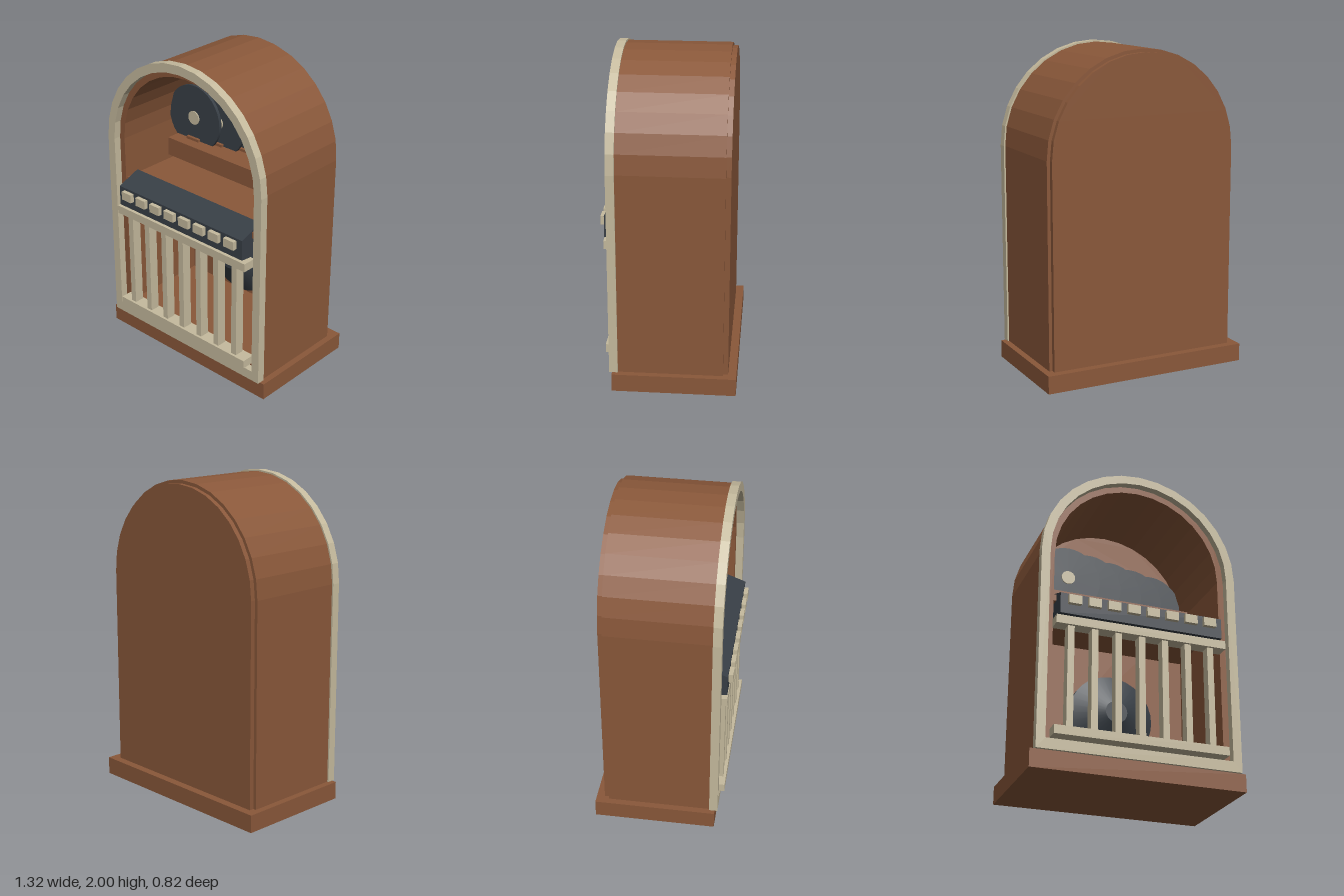
import * as THREE from 'three';

const wood = new THREE.MeshStandardMaterial({ color: 0x8a583a });
wood.name = 'warm wood';
const cream = new THREE.MeshStandardMaterial({ color: 0xc6bb9e });
cream.name = 'cream trim';
const dark = new THREE.MeshStandardMaterial({ color: 0x383f46 });
dark.name = 'dark slate';

const ARCH_Y = 1.37; // height at which the round top starts

// Outline of a round-topped doorway shape
function archPoints(r, bottom, segments = 16) {
  const pts = [new THREE.Vector2(-r, bottom), new THREE.Vector2(r, bottom)];
  for (let i = 0; i <= segments; i++) {
    const a = (Math.PI * i) / segments;
    pts.push(new THREE.Vector2(r * Math.cos(a), ARCH_Y + r * Math.sin(a)));
  }
  return pts;
}

export function createModel() {
  const model = new THREE.Group();
  model.name = 'jukebox';

  function add(name, geometry, material, x = 0, y = 0, z = 0, parent = model) {
    const mesh = new THREE.Mesh(geometry, material);
    mesh.name = name;
    mesh.position.set(x, y, z);
    parent.add(mesh);
    return mesh;
  }

  // Box given by its limits on each axis
  function box(name, material, x0, x1, y0, y1, z0, z1, parent) {
    return add(name, new THREE.BoxGeometry(x1 - x0, y1 - y0, z1 - z0), material,
      (x0 + x1) / 2, (y0 + y1) / 2, (z0 + z1) / 2, parent);
  }

  // Arch slab between two depths, optionally with an arch opening
  function arch(name, material, r, bottom, z0, z1, hole) {
    const shape = new THREE.Shape(archPoints(r, bottom));
    if (hole) shape.holes.push(new THREE.Path(archPoints(hole.r, hole.bottom)));
    const geometry = new THREE.ExtrudeGeometry(shape, { depth: z1 - z0, bevelEnabled: false });
    return add(name, geometry, material, 0, 0, z0);
  }

  // Round part whose axis runs front to back
  function disc(name, material, rFront, rBack, z0, z1, x, y, parent) {
    const geometry = new THREE.CylinderGeometry(rFront, rBack, z1 - z0, 32).rotateX(Math.PI / 2);
    return add(name, geometry, material, x, y, (z0 + z1) / 2, parent);
  }

  // Cabinet
  box('base', wood, -0.66, 0.66, 0, 0.11, -0.41, 0.34);
  arch('cabinetShell', wood, 0.62, 0.11, -0.33, 0.31, { r: 0.535, bottom: 0.185 });
  arch('backPanel', wood, 0.6, 0.11, -0.36, -0.33);
  arch('innerBack', wood, 0.54, 0.18, -0.33, -0.295);
  arch('frontTrim', cream, 0.63, 0.11, 0.305, 0.357, { r: 0.575, bottom: 0.175 });
  box('shelf', wood, -0.535, 0.535, 1.06, 1.1, -0.3, 0.3);

  // Record rack with five overlapping records
  const records = new THREE.Group();
  records.name = 'records';
  model.add(records);
  box('rack', wood, -0.465, 0.465, 1.175, 1.295, -0.3, 0, records);
  for (let i = 0; i < 5; i++) {
    const x = -0.32 + 0.16 * i;
    const z = -0.1 - 0.045 * i;
    disc('record', dark, 0.215, 0.215, z - 0.01, z + 0.01, x, 1.445, records);
    disc('recordLabel', cream, 0.045, 0.045, z + 0.01, z + 0.017, x, 1.445, records);
    box('recordHolder', wood, x - 0.05, x + 0.05, 1.28, 1.312, z - 0.02, z + 0.03, records);
  }

  // Selector panel: side profile (depth, height) swept across the width
  const profile = new THREE.Shape([
    [0.23, 0.93], [0.385, 0.945], [0.385, 1.075], [0.23, 1.135],
  ].map(([z, y]) => new THREE.Vector2(-z, y)));
  const panel = new THREE.ExtrudeGeometry(profile, { depth: 1.03, bevelEnabled: false });
  panel.rotateY(Math.PI / 2);
  add('selectorPanel', panel, dark, -0.515);
  for (let i = 0; i < 8; i++) {
    const x = -0.43 + (0.86 * i) / 7;
    box('button', cream, x - 0.04, x + 0.04, 1.005, 1.06, 0.38, 0.412);
  }

  // Speaker
  const speaker = new THREE.Group();
  speaker.name = 'speaker';
  model.add(speaker);
  disc('speakerRim', dark, 0.27, 0.27, -0.3, -0.165, 0, 0.56, speaker);
  disc('speakerCone', dark, 0.07, 0.27, -0.165, -0.06, 0, 0.56, speaker);

  // Grille
  const grille = new THREE.Group();
  grille.name = 'grille';
  model.add(grille);
  for (const y of [0.195, 0.877]) {
    box('grilleRail', cream, -0.537, 0.537, y, y + 0.053, 0.3, 0.388, grille);
  }
  for (let i = -3; i <= 3; i++) {
    const x = i * 0.147;
    box('grilleBar', cream, x - 0.02, x + 0.02, 0.24, 0.885, 0.31, 0.372, grille);
  }
  return model;
}
